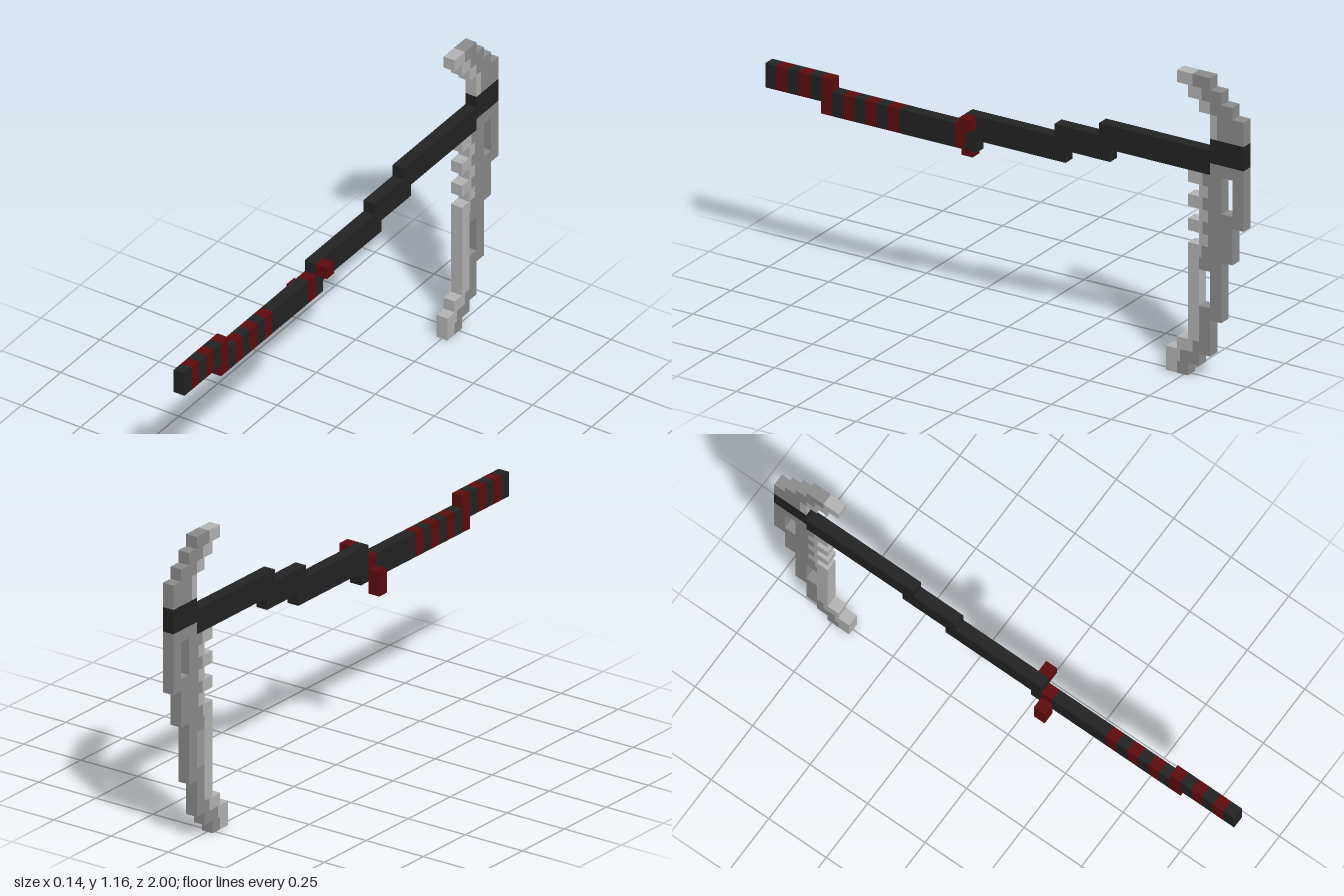
import * as THREE from 'three';

const U = 2 / 43; // one cell of the block grid

const mat = (name, color) => {
  const m = new THREE.MeshStandardMaterial({ color });
  m.name = name;
  return m;
};

export function createModel() {
  const black = mat('black', 0x232323);
  const red = mat('dark red', 0x5e0c0e);
  const steel = mat('steel grey', 0x8c8c8c);
  const edge = mat('light edge grey', 0xb5b5b5);

  const model = new THREE.Group();
  model.name = 'scythe';

  // Block spanning cells k0..k1 (from the back), j0..j1 (from the ground), in column i (-1, 0, 1)
  const block = (parent, name, material, k0, k1, j0, j1, i = 0) => {
    const mesh = new THREE.Mesh(new THREE.BoxGeometry(U, (j1 - j0) * U, (k1 - k0) * U), material);
    mesh.position.set(i * U, (j0 + j1) / 2 * U, -1 + (k0 + k1) / 2 * U);
    mesh.name = name;
    parent.add(mesh);
  };
  const section = (name) => {
    const g = new THREE.Group();
    g.name = name;
    model.add(g);
    return g;
  };

  // Grip: alternating bands, stepping down one cell at k = 37
  const grip = section('grip');
  for (let k = 31; k < 43; k++) {
    const upper = k > 37;
    const isRed = k % 2 === 1;
    block(grip, isRed ? 'gripWrap' : 'gripCore', isRed ? red : black,
      k, k + 1, upper ? 15 : 14, upper || k === 37 ? 17 : 16);
  }

  // Shaft: climbs in steps towards the blade
  const shaft = section('shaft');
  [
    [26, 31, 14, 16], [24, 25, 14, 17], [17, 24, 15, 17], [16, 17, 15, 18],
    [13, 16, 16, 18], [12, 13, 16, 19], [3, 12, 17, 19],
  ].forEach((s) => block(shaft, 'shaftStep', black, ...s));
  block(shaft, 'shaftBand', red, 25, 26, 14, 16);
  block(shaft, 'bladeSocket', black, 0, 3, 18, 20);

  // Side pegs
  block(model, 'leftPeg', red, 24, 25, 16, 17, 1);
  block(model, 'rightPeg', red, 25, 26, 13, 15, -1);

  // Blade rows: j0, j1, back k, front k, width of the light cutting edge
  const blade = section('blade');
  [
    [24, 25, 3, 6, 1.4], [23, 24, 2, 5, 1.2], [22, 23, 1, 4, 1], [20, 22, 0, 3, 0.6],
    [17, 18, 0, 3, 0],
    [16, 17, 2, 5, 1.3], [15, 16, 2, 4, 0.8], [14, 15, 2, 5, 1.3], [13, 14, 0, 4, 0.8],
    [12, 13, 1, 5, 1.3], [11, 12, 1, 4, 0.8], [10, 11, 1, 5, 1.2], [9, 10, 2, 5, 1],
    [6, 9, 4, 5, 1], [5, 6, 2, 5, 1], [3, 5, 3, 5, 1],
    [2, 3, 3, 6, 1.4], [1, 2, 4, 7, 1.3], [0, 1, 5, 7, 1],
  ].forEach(([j0, j1, k0, k1, w]) => {
    if (k1 - w > k0) block(blade, 'bladeBody', steel, k0, k1 - w, j0, j1);
    if (w > 0) block(blade, 'cuttingEdge', edge, k1 - w, k1, j0, j1);
  });

  // Spines behind the two openings in the blade
  block(blade, 'upperSpine', steel, 0, 1, 14, 17);
  block(blade, 'lowerSpine', steel, 2, 3, 6, 9);

  return model;
}
